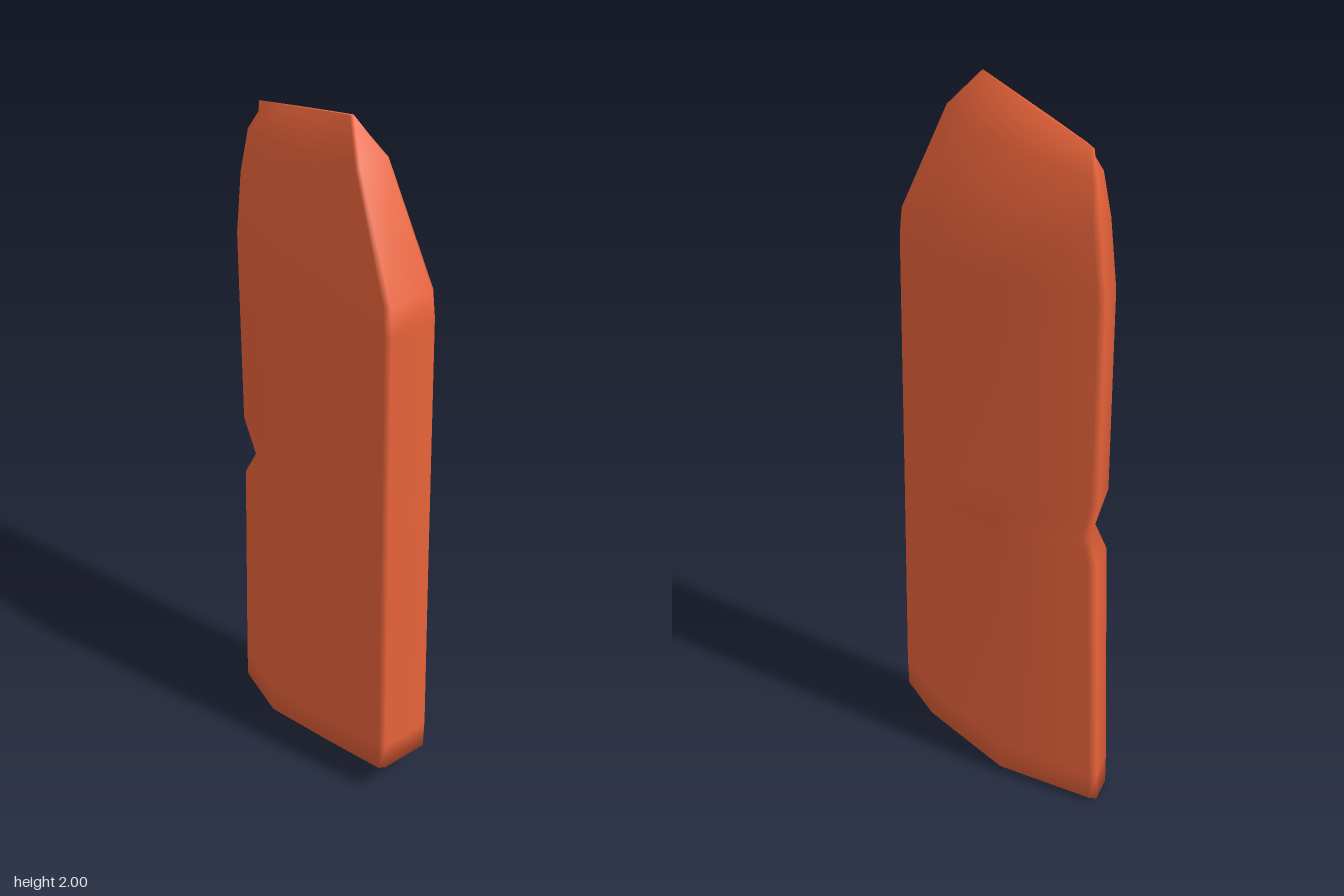
import * as THREE from 'three';

// Plan outline of the slab (x, z), running from the left tip along the back
const outline = [
  [-0.365, -0.028], [-0.347, -0.04], [-0.065, -0.11], [0.215, -0.11], [0.352, -0.07],
  [0.365, -0.058], [0.365, 0.08], [0.352, 0.094], [0.12, 0.102], [-0.13, 0.109], [-0.31, 0.07],
];
const HALF = 0.365;
const RIDGE_Z = 0.015;

// Each level: left and right ends with their heights, and thickness scale
const levels = [
  { xl: -0.36, yl: 0, xr: 0.36, yr: 0, t: 0.98, base: 0 },
  { xl: -0.36, yl: 0, xr: 0.362, yr: 0, t: 1, base: 0.08 },
  { xl: -0.347, yl: 0.74, xr: 0.36, yr: 0.74, t: 1 },
  { xl: -0.35, yl: 0.81, xr: 0.36, yr: 0.81, t: 1, notch: 0.034 },
  { xl: -0.35, yl: 0.92, xr: 0.36, yr: 0.92, t: 1 },
  { xl: -0.365, yl: 1.5, xr: 0.36, yr: 1.5, t: 1 },
  { xl: -0.343, yl: 1.7, xr: 0.353, yr: 1.58, t: 0.97 },
  { xl: -0.318, yl: 1.81, xr: 0.2, yr: 1.9, t: 0.64 },
  { xl: -0.28, yl: 1.885, xr: 0.115, yr: 2, t: 0.04 },
];

function levelPoint(level, [px, pz]) {
  const k = (px + HALF) / (2 * HALF);
  let x = THREE.MathUtils.lerp(level.xl, level.xr, k);
  let z = RIDGE_Z + (pz - RIDGE_Z) * level.t;
  let y = THREE.MathUtils.lerp(level.yl, level.yr, k);
  // Slanted foot, rising to the right end
  if (level.base !== undefined) y = level.base + Math.max(0, (x + 0.11) * 0.205) + (pz < 0 ? 0.012 : 0);
  // Chip cut into the left edge
  if (level.notch && px < -0.3) {
    x += level.notch;
    z *= 0.8;
  }
  return [x, y, z];
}

function slabGeometry() {
  const n = outline.length;
  const pos = [];
  const index = [];
  for (const level of levels) for (const p of outline) pos.push(...levelPoint(level, p));
  for (let i = 0; i < levels.length - 1; i++) {
    for (let j = 0; j < n; j++) {
      const a = i * n + j, b = i * n + (j + 1) % n;
      index.push(a, a + n, b, b, a + n, b + n);
    }
  }
  // Foot and ridge caps
  const top = (levels.length - 1) * n;
  const foot = pos.length / 3;
  pos.push(...levelPoint(levels[0], [-0.11, 0]));
  pos.push(...levelPoint(levels[levels.length - 1], [0, RIDGE_Z]));
  for (let j = 0; j < n; j++) {
    const k = (j + 1) % n;
    index.push(foot, j, k, foot + 1, top + k, top + j);
  }
  const g = new THREE.BufferGeometry();
  g.setAttribute('position', new THREE.Float32BufferAttribute(pos, 3));
  g.setIndex(index);
  g.computeVertexNormals();
  return g;
}

export function createModel() {
  const group = new THREE.Group();
  group.name = 'stoneSlab';
  const slab = new THREE.Mesh(slabGeometry(), new THREE.MeshStandardMaterial({ color: 0xe8633a }));
  slab.name = 'slab';
  group.add(slab);
  return group;
}
